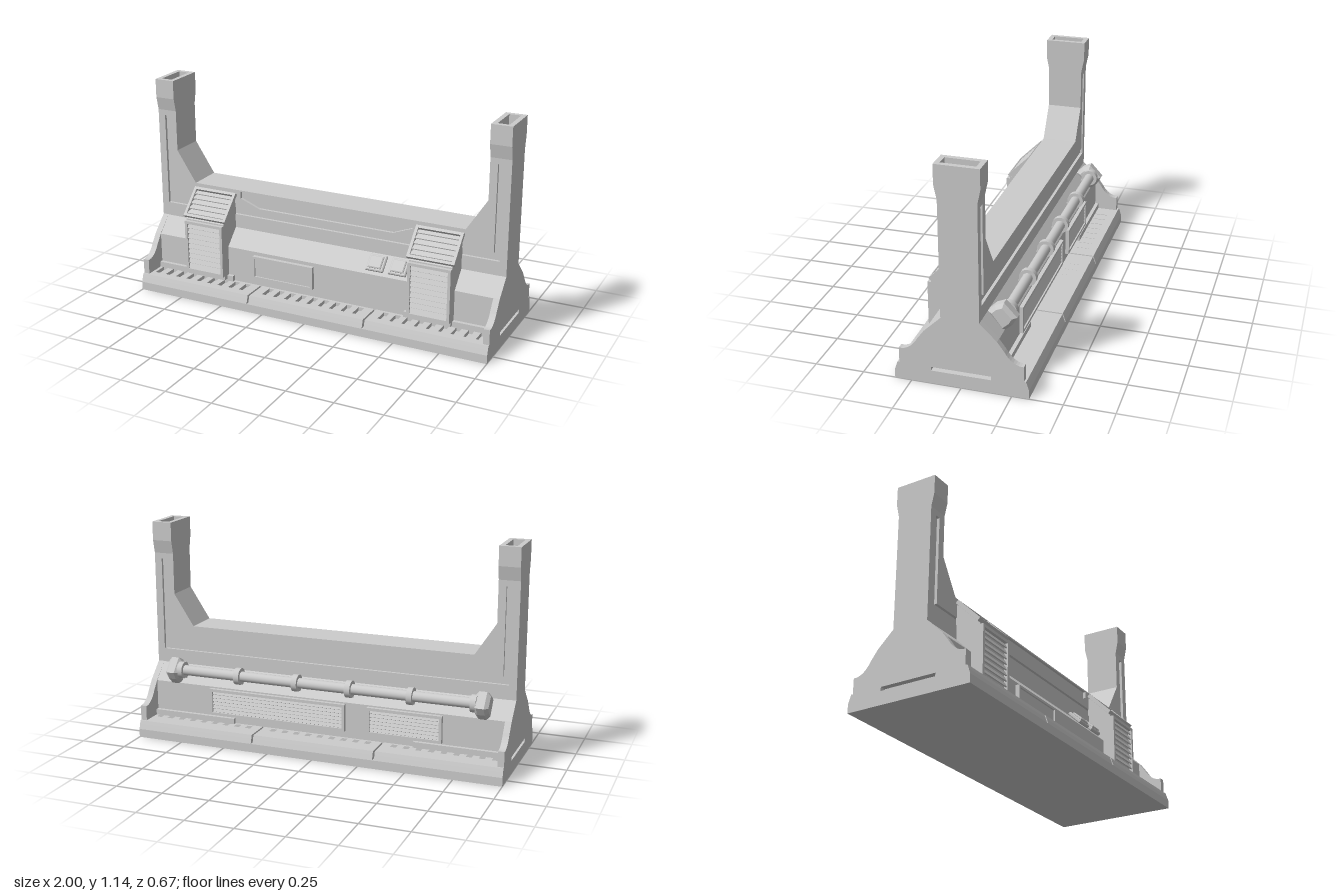
import * as THREE from 'three';

const mat = new THREE.MeshStandardMaterial({ color: 0xcccccc });
const V = (p) => new THREE.Vector2(p[0], p[1]);
const shapeOf = (pts) => new THREE.Shape(pts.map(V));
const rect = (x0, y0, x1, y1) => [[x0, y0], [x1, y0], [x1, y1], [x0, y1]];
const mirror = (half) => [...half, ...half.map(([a, b]) => [-a, b]).reverse()];

function add(parent, name, geo) {
  const m = new THREE.Mesh(geo, mat);
  m.name = name;
  parent.add(m);
  return m;
}

function extrude(outline, depth, holes = [], bevel = 0) {
  const s = shapeOf(outline);
  holes.forEach((h) => s.holes.push(new THREE.Path(h.map(V))));
  return new THREE.ExtrudeGeometry(s, {
    depth: depth - 2 * bevel, bevelEnabled: bevel > 0, bevelSize: bevel,
    bevelOffset: -bevel, bevelThickness: bevel, bevelSegments: 1,
  }).translate(0, 0, bevel);
}

// Profile given as (z, y), swept from x0 to x1
const alongX = (profile, x0, x1, bevel = 0) =>
  extrude(profile, x1 - x0, [], bevel).rotateY(-Math.PI / 2).translate(x1, 0, 0);

// Plan given as (x, z), swept from y0 to y1
const upward = (plan, y0, y1, holes) =>
  extrude(plan, y1 - y0, holes).rotateX(Math.PI / 2).translate(0, y1, 0);

// Framed grille facing +z, back at z = 0
function louver(name, w, h, slats, frame = 0.015) {
  const g = new THREE.Group();
  g.name = name;
  const iw = w / 2 - frame, ih = h / 2 - frame;
  add(g, 'grilleFrame', extrude(rect(-w / 2, -h / 2, w / 2, h / 2), 0.02, [rect(-iw, -ih, iw, ih)]));
  const pitch = (2 * ih) / slats;
  for (let i = 0; i < slats; i++) {
    const slat = add(g, 'grilleSlat', new THREE.BoxGeometry(2 * iw, pitch * 0.85, 0.006));
    slat.position.set(0, -ih + pitch * (i + 0.5), 0.008);
    slat.rotation.x = -0.45;
  }
  return g;
}

function buildBase(root) {
  const base = new THREE.Group();
  base.name = 'base';
  root.add(base);
  add(base, 'plinth', new THREE.BoxGeometry(2, 0.045, 0.67).translate(0, 0.0225, 0));
  const spans = [[-1, -0.34], [-0.33, 0.33], [0.34, 1]];
  for (const [x0, x1] of spans) {
    add(base, 'plinthSegment', alongX(mirror([[0.335, 0.045], [0.327, 0.07]]), x0, x1));
    for (const s of [1, -1]) {
      // Slotted walkway with a sloped lip
      const mid = (x0 + x1) / 2, slots = [];
      for (let i = -4; i <= 4; i++) {
        const c = mid + i * 0.066;
        slots.push(rect(c - 0.015, s * 0.195, c + 0.015, s * 0.275));
      }
      add(base, 'slottedDeck', upward(rect(x0, s * 0.15, x1, s * 0.3), 0.07, 0.09, slots));
      add(base, 'deckLip', alongX(
        [[0.3, 0.07], [0.327, 0.07], [0.32, 0.09], [0.3, 0.09]].map(([z, y]) => [s * z, y]), x0, x1));
    }
  }
}

function buildBody(root) {
  // Lower housing with sloped shoulders
  add(root, 'lowerHousing', alongX(mirror([[0.18, 0.07], [0.18, 0.28], [0.095, 0.365]]), -0.97, 0.97));
  for (const sx of [1, -1]) for (const sz of [1, -1])
    add(root, 'footStep', new THREE.BoxGeometry(0.47, 0.03, 0.02)
      .translate(sx * 0.735, 0.105, sz * 0.19));

  // Curved end plates
  const sweep = new THREE.QuadraticBezierCurve(V([0.31, 0.17]), V([0.255, 0.165]), V([0.215, 0.235]))
    .getPoints(8).map((p) => [p.x, p.y]);
  const half = [[0.31, 0.09], ...sweep, [0.18, 0.283], [0.095, 0.366]];
  for (const x of [-1, 0.967]) add(root, 'endPlate', alongX(mirror(half), x, x + 0.033));

  // Wall with two uprights: a core between grooved skins
  const wall = mirror([[1, 0.36], [1, 0.97], [0.89, 0.97], [0.89, 0.75], [0.78, 0.58]]);
  const groove = mirror([[0.96, 0.44], [0.96, 0.94], [0.93, 0.94], [0.93, 0.48]]);
  const recess = mirror([[0.39, 0.492], [0.5, 0.535], [0.5, 0.572]]);
  add(root, 'wallCore', extrude(wall, 0.16).translate(0, 0, -0.08));
  add(root, 'frontSkin', extrude(wall, 0.015, [groove, recess]).translate(0, 0, 0.08));
  add(root, 'backSkin', extrude(wall, 0.015, [groove]).translate(0, 0, -0.095));

  // Flared hollow heads of the uprights
  for (const s of [1, -1]) {
    const x0 = s > 0 ? 0.89 : -1, x1 = x0 + 0.11;
    add(root, 'uprightFlare', alongX(mirror([[0.095, 0.97], [0.11, 1.04]]), x0, x1));
    add(root, 'uprightSocket', upward(rect(x0, -0.11, x1, 0.11), 1.04, 1.14,
      [rect(x0 + 0.025, -0.085, x1 - 0.025, 0.085)]));
  }
}

function buildFront(root) {
  // Vent towers
  for (const s of [1, -1]) {
    const g = new THREE.Group();
    g.name = 'ventTower';
    g.position.x = s * 0.65;
    root.add(g);
    add(g, 'ventHousing', alongX(
      [[0.09, 0.1], [0.225, 0.1], [0.225, 0.42], [0.1, 0.545], [0.09, 0.545]], -0.115, 0.115));
    const low = louver('lowerGrille', 0.23, 0.29, 9);
    low.position.set(0, 0.268, 0.225);
    const high = louver('upperGrille', 0.255, 0.178, 5);
    high.position.set(0, 0.489, 0.158);
    high.rotation.x = -Math.PI / 4;
    g.add(low, high);
  }

  // Framed plate on the lower wall
  const plate = add(root, 'accessPanelFrame', extrude(rect(-0.178, -0.063, 0.178, 0.063), 0.022,
    [rect(-0.166, -0.051, 0.166, 0.051)]));
  plate.position.set(-0.197, 0.198, 0.18);
  add(root, 'accessPanel', new THREE.BoxGeometry(0.335, 0.105, 0.014)).position.set(-0.197, 0.198, 0.187);

  // Two control blocks on the shoulder
  for (const x of [0.325, 0.45]) {
    const g = new THREE.Group();
    g.name = 'controlBlock';
    g.position.set(x, 0.325, 0.138);
    g.rotation.x = -0.8;
    root.add(g);
    add(g, 'controlBase', extrude(rect(-0.048, -0.045, 0.048, 0.045), 0.02, [], 0.005));
    add(g, 'controlKey', extrude(rect(-0.036, -0.034, 0.036, 0.034), 0.014, [], 0.005))
      .position.z = 0.016;
  }
}

function buildBack(root) {
  // Wide and narrow grilles
  for (const [x0, x1] of [[-0.13, 0.64], [-0.65, -0.25]]) {
    const g = louver('backGrille', x1 - x0, 0.145, 6);
    g.position.set((x0 + x1) / 2, 0.2, -0.18);
    g.rotation.y = Math.PI;
    root.add(g);
  }

  // Pipe with clamps and end brackets
  const y = 0.355, z = -0.178;
  const rod = (r, len, n) => new THREE.CylinderGeometry(r, r, len, n).rotateZ(Math.PI / 2);
  add(root, 'pipe', rod(0.027, 1.66, 20)).position.set(0, y, z);
  for (const x of [-0.81, -0.48, -0.15, 0.145, 0.475, 0.81]) {
    add(root, 'pipeClamp', rod(0.045, 0.03, 20)).position.set(x, y, z);
    const post = add(root, 'clampPost', new THREE.BoxGeometry(0.026, 0.04, 0.06));
    post.position.set(x, 0.332, -0.155);
    post.rotation.x = Math.PI / 4;
  }
  const bracket = [[-0.095, 0.365], [-0.13, 0.4], [-0.175, 0.42], [-0.24, 0.35],
    [-0.217, 0.31], [-0.175, 0.272], [-0.16, 0.28]];
  for (const x of [-0.89, 0.815]) add(root, 'pipeBracket', alongX(bracket, x, x + 0.075, 0.018));
}

export function createModel() {
  const root = new THREE.Group();
  root.name = 'barrier';
  buildBase(root);
  buildBody(root);
  buildFront(root);
  buildBack(root);
  return root;
}
